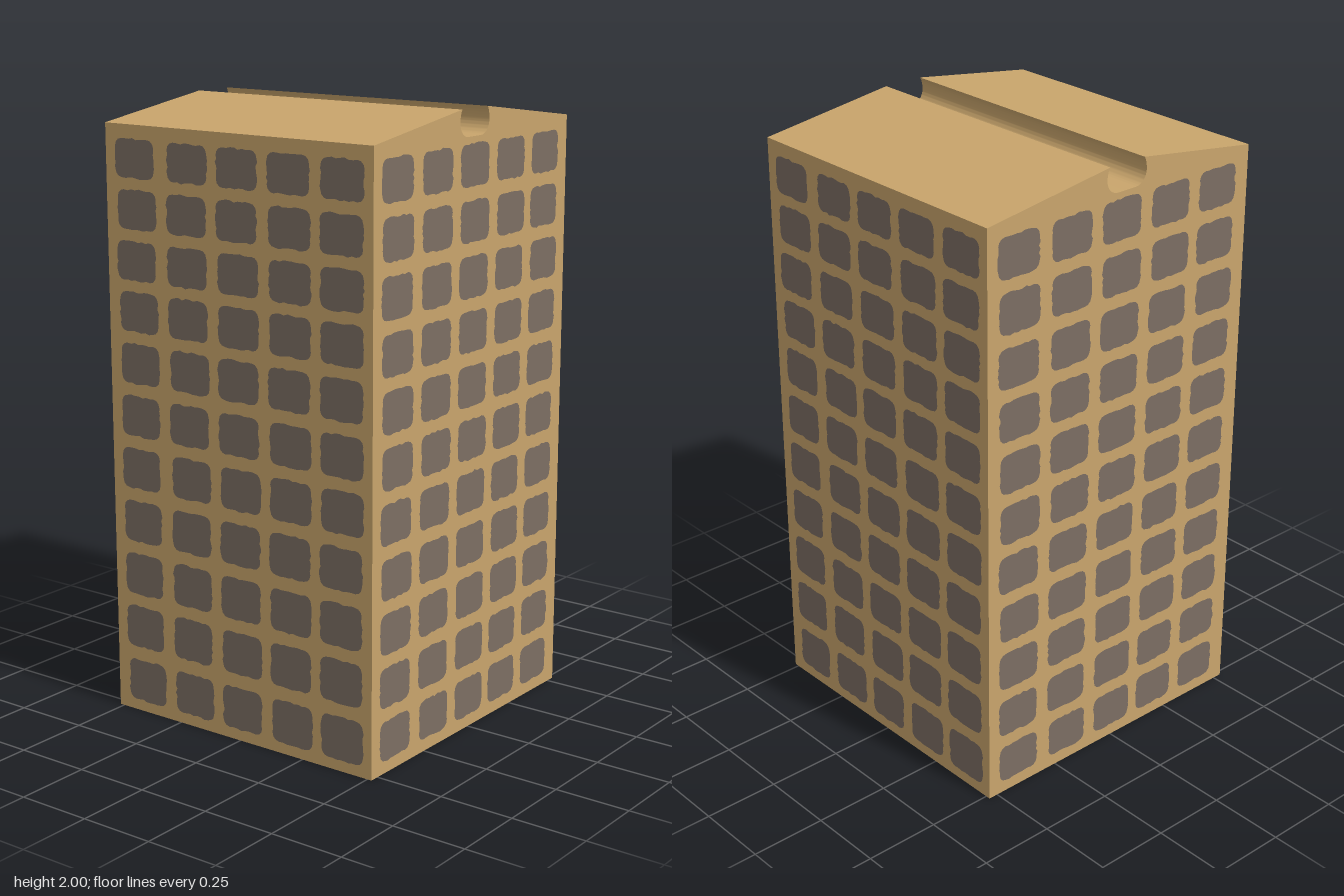
import * as THREE from 'three';
import { toCreasedNormals } from 'three/addons/utils/BufferGeometryUtils.js';

const HALF_X = 0.516, HALF_Z = 0.532, EAVE = 1.935, RIDGE = 2;

// Small seeded generator for the ragged window edges
function makeRandom(seed) {
  return () => {
    seed = (seed * 16807) % 2147483647;
    return seed / 2147483647;
  };
}

// Gable outline with a rounded channel cut along the ridge (u = -z)
function towerShape() {
  const c = -0.01, floor = 1.915, r = 0.045, wide = 0.08, mouth = 0.07;
  const s = new THREE.Shape();
  s.moveTo(-HALF_Z, 0);
  s.lineTo(HALF_Z, 0);
  s.lineTo(HALF_Z, EAVE);
  s.lineTo(c + mouth, RIDGE);
  s.quadraticCurveTo(c + wide, 1.985, c + wide, floor + r);
  s.absarc(c + wide - r, floor + r, r, 0, -Math.PI / 2, true);
  s.lineTo(c - wide + r, floor);
  s.absarc(c - wide + r, floor + r, r, -Math.PI / 2, -Math.PI, true);
  s.quadraticCurveTo(c - wide, 1.985, c - mouth, RIDGE);
  s.lineTo(-HALF_Z, EAVE);
  s.closePath();
  return s;
}

// Rounded rectangle whose edges wander slightly
function windowShape(x, y, w, h, random) {
  const r = 0.025, pts = [];
  const wobble = () => (random() - 0.5) * 0.007;
  const corners = [[1, 1], [-1, 1], [-1, -1], [1, -1]];
  corners.forEach(([sx, sy], i) => {
    // corner arc
    for (let k = 0; k <= 3; k++) {
      const a = (i + k / 3) * Math.PI / 2;
      pts.push(new THREE.Vector2(
        x + sx * (w / 2 - r) + r * Math.cos(a),
        y + sy * (h / 2 - r) + r * Math.sin(a)));
    }
    // ragged run towards the next corner
    const [nx, ny] = corners[(i + 1) % 4];
    for (let k = 1; k < 7; k++) {
      const t = k / 7;
      pts.push(sx !== nx
        ? new THREE.Vector2(x + (sx + (nx - sx) * t) * (w / 2 - r), y + sy * h / 2 + wobble())
        : new THREE.Vector2(x + sx * w / 2 + wobble(), y + (sy + (ny - sy) * t) * (h / 2 - r)));
    }
  });
  return new THREE.Shape(pts);
}

// All windows of one wall, laid out in the wall's own plane
function wallWindows(columns, rows, width, heightAt, seed) {
  const random = makeRandom(seed);
  const shapes = [];
  rows.forEach((y, i) => columns.forEach((x) => {
    const dx = (random() - 0.5) * 0.008;
    shapes.push(windowShape(x + dx, y, width, heightAt(i), random));
  }));
  return new THREE.ShapeGeometry(shapes);
}

export function createModel() {
  const wall = new THREE.MeshStandardMaterial({ name: 'sandstone', color: 0xc9a56c });
  const glass = new THREE.MeshStandardMaterial({ name: 'grey brown window', color: 0x7c6e63 });
  const model = new THREE.Group();
  model.name = 'towerBlock';

  // Tower body: the gable outline swept across the width
  const body = new THREE.ExtrudeGeometry(towerShape(), {
    depth: HALF_X * 2, bevelEnabled: false, curveSegments: 10,
  });
  body.translate(0, 0, -HALF_X);
  body.rotateY(Math.PI / 2);
  const tower = new THREE.Mesh(toCreasedNormals(body, 0.5), wall);
  tower.name = 'towerBody';
  model.add(tower);

  // Front and back windows, whose storeys grow taller towards the ground
  const longWall = wallWindows(
    [-0.392, -0.186, 0.012, 0.21, 0.403],
    [1.83, 1.67, 1.508, 1.345, 1.178, 1.006, 0.832, 0.655, 0.475, 0.294, 0.108],
    0.158, (i) => 0.122 + i * 0.002, 11);

  // Gable windows on an even grid
  const gableRows = Array.from({ length: 11 }, (_, i) => 1.828 - i * 0.1722);
  const gableWall = wallWindows(
    [-0.41, -0.206, -0.005, 0.196, 0.397], gableRows, 0.157, () => 0.13, 29);

  const walls = [
    ['frontWindows', longWall, HALF_Z, 0],
    ['leftWindows', gableWall, HALF_X, Math.PI / 2],
    ['backWindows', longWall, HALF_Z, Math.PI],
    ['rightWindows', gableWall, HALF_X, -Math.PI / 2],
  ];
  for (const [name, geometry, distance, angle] of walls) {
    const panes = new THREE.Mesh(geometry, glass);
    panes.name = name;
    panes.rotation.y = angle;
    panes.position.set(Math.sin(angle), 0, Math.cos(angle)).multiplyScalar(distance + 0.002);
    model.add(panes);
  }
  return model;
}
